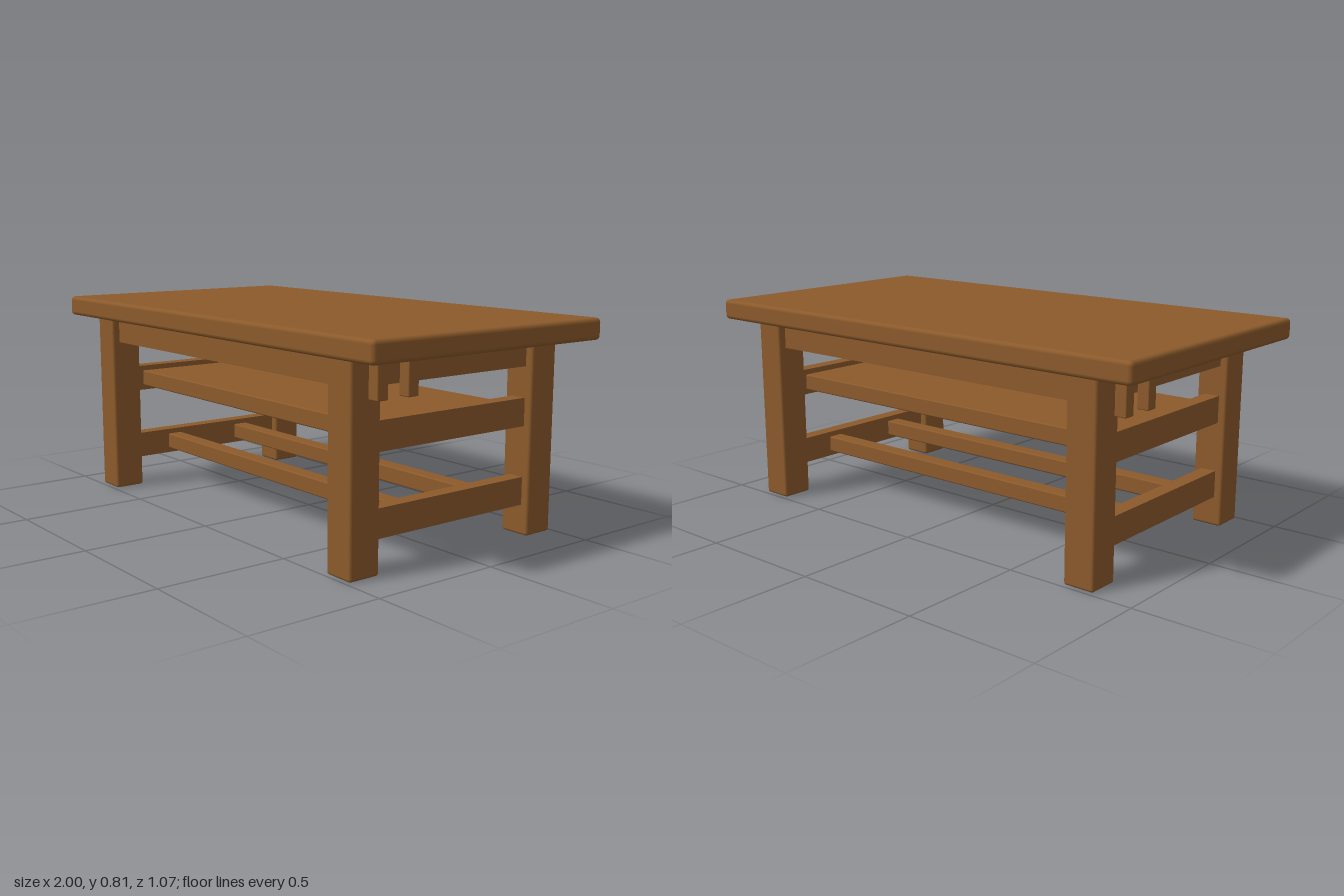
import * as THREE from 'three';
import { RoundedBoxGeometry } from 'three/addons/geometries/RoundedBoxGeometry.js';

export function createModel() {
  const table = new THREE.Group();
  table.name = 'table';
  const wood = new THREE.MeshStandardMaterial({ color: 0x8b5a2b });
  wood.name = 'wood';

  // A beam given by its limits on each axis; a bevel softens its edges.
  function beam(name, [x0, x1], [y0, y1], [z0, z1], bevel = 0) {
    const size = [x1 - x0, y1 - y0, z1 - z0];
    const geometry = bevel
      ? new RoundedBoxGeometry(...size, 2, bevel)
      : new THREE.BoxGeometry(...size);
    const mesh = new THREE.Mesh(geometry, wood);
    mesh.name = name;
    mesh.position.set((x0 + x1) / 2, (y0 + y1) / 2, (z0 + z1) / 2);
    table.add(mesh);
  }

  // Limits mirrored to the side given by sign
  const side = (sign, a, b) => (sign > 0 ? [a, b] : [-b, -a]);

  beam('tabletop', [-1, 1], [0.73, 0.81], [-0.537, 0.537], 0.016);

  // Shelf held between the upper end rails
  beam('shelf', [-0.75, 0.75], [0.43, 0.495], [-0.33, 0.33], 0.006);

  for (const s of [1, -1]) {
    // Legs
    for (const t of [1, -1]) {
      beam('leg', side(s, 0.718, 0.84), [0, 0.732], side(t, 0.36, 0.486), 0.01);
    }

    // End frame: apron and two rails
    const endX = side(s, 0.75, 0.81);
    beam('endApron', endX, [0.63, 0.732], [-0.362, 0.362]);
    beam('upperEndRail', endX, [0.41, 0.515], [-0.362, 0.362]);
    beam('lowerEndRail', endX, [0.115, 0.22], [-0.362, 0.362]);

    // Long members
    beam('longApron', [-0.722, 0.722], [0.63, 0.732], side(s, 0.395, 0.455));
    beam('lowerStretcher', [-0.752, 0.752], [0.135, 0.2], side(s, 0.143, 0.208), 0.006);

    // Pegs under the overhang, in opposite corners
    for (const z of [0.28, 0.41]) {
      beam('peg', side(s, 0.885, 0.93), [0.605, 0.732], side(s, z, z + 0.045), 0.004);
    }
  }

  return table;
}
